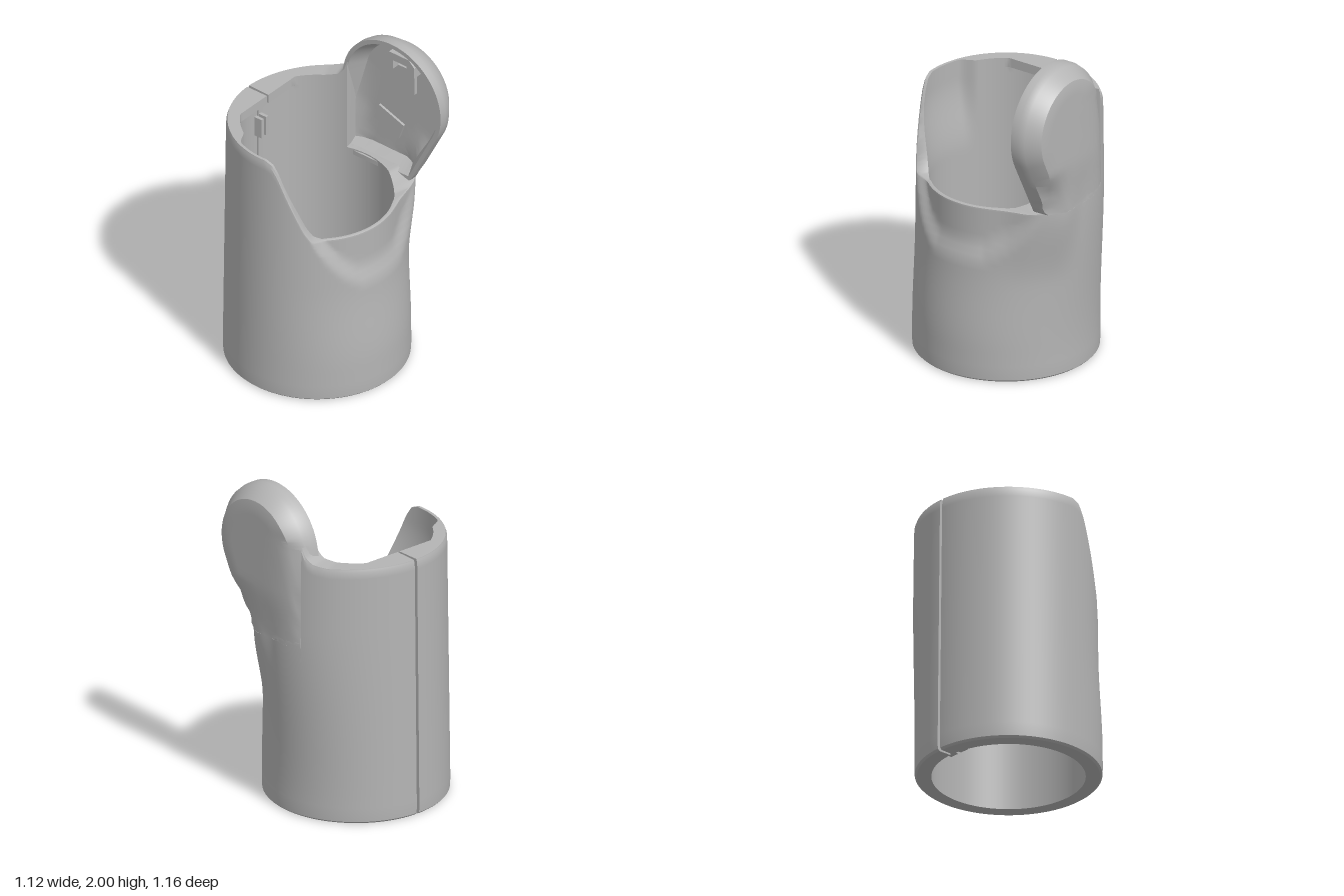
import * as THREE from 'three';
import { toCreasedNormals } from 'three/addons/utils/BufferGeometryUtils.js';

const CX = -0.01, CZ = 0.03;
const sstep = (a, b, v) => THREE.MathUtils.smoothstep(v, a, b);
const lerp = THREE.MathUtils.lerp;

// Piecewise-linear lookup in a list of [input, value] pairs
function lookup(table, v) {
  if (v <= table[0][0]) return table[0][1];
  for (let i = 1; i < table.length; i++) {
    const [a, p] = table[i - 1], [b, q] = table[i];
    if (v <= b) return lerp(p, q, (v - a) / (b - a));
  }
  return table[table.length - 1][1];
}

const FRONT_TOP = [[0.03, 1.62], [0.08, 1.6], [0.12, 1.54], [0.2, 1.35], [0.28, 1.16], [0.32, 1.1], [0.37, 1.08]];
const BACK_TOP = [[-0.17, 1.13], [0.25, 1.13], [0.33, 1.1], [0.4, 1.08]];
const WEDGE_TOP = [[-0.32, 1.62], [-0.24, 1.635], [-0.195, 1.67], [-0.172, 1.73]];
const SCOOP = [[0.1, 1.6], [0.2, 1.36], [0.35, 1.0], [0.45, 0.82], [0.51, 0.73], [0.54, 0.72]];
const STEP = -1.87; // angle where the wall gives way to the paddle

// Height of the sleeve wall at angle t
function wallTop(t) {
  const x = CX + 0.55 * Math.cos(t);
  if (t > 0) return lookup(FRONT_TOP, x);
  return lookup(t > STEP ? BACK_TOP : WEDGE_TOP, x);
}

const plainRadius = y => 0.55 - 0.012 * y;

// Backward swelling of the sleeve under the paddle and its right-hand corner
function bulge(c, y) {
  const corner = sstep(0.1, 0.5, c) * (1 - sstep(0.7, 0.95, c));
  return 0.06 * sstep(0.1, 1.2, y) * (1 - c * c) + 0.06 * sstep(0.6, 1.1, y) * corner;
}

// Outer radius, thinned by the scoop below the low lip
function outerRadius(t, y) {
  const c = Math.cos(t);
  const r = plainRadius(y) - 0.035 * Math.max(0, c) ** 2 * sstep(0.2, 0.75, y);
  const edge = lookup(SCOOP, CX + 0.55 * c);
  const amount = t > 0 ? (c > 0.2 ? 1 : 0) : sstep(0.6, 0.88, c);
  return lerp(r, 0.467, amount * sstep(edge, edge + 0.15, y));
}

// Inner radius, flared at the front and flat on the slit side near the top
function innerRadius(t, y, v, outer) {
  const c = Math.cos(t), s = Math.sin(t);
  let r = 0.45 + 0.055 * sstep(-0.55, -0.35, c) * sstep(0, 0.3, s) * sstep(1.05, 1.5, y);
  if (c < -0.5 && v > 0.952) r = Math.min(r, 0.375 / -c);
  return Math.min(r, outer - 0.014);
}

function makeGeometry(pos, idx) {
  const g = new THREE.BufferGeometry();
  g.setAttribute('position', new THREE.Float32BufferAttribute(pos, 3));
  g.setIndex(idx);
  return toCreasedNormals(g, 0.6);
}

// Split sleeve: closed wall sections swept from one side of the slit to the other
function sleeveGeometry() {
  const gap = 0.018, cols = 200, levels = [0, 0.002, 0.006];
  for (let j = 1; j <= 44; j++) levels.push(0.006 + 0.939 * j / 44);
  levels.push(0.951, 0.953, 0.985, 0.995, 1);
  const angles = [STEP - 0.0005, STEP + 0.0005];
  for (let i = 0; i <= cols; i++) angles.push(lerp(-Math.PI + gap, Math.PI - gap, i / cols));
  angles.sort((a, b) => a - b);
  const pos = [], idx = [], n = levels.length, m = 2 * n;
  for (const t of angles) {
    const top = wallTop(t), outer = [], inner = [], c = Math.cos(t), s = Math.sin(t);
    for (const v of levels) {
      // Level rows up to y = 1, then stretched to the local height
      const y = v < 0.5 ? 2 * v : lerp(1, top, 2 * v - 1);
      const r = outerRadius(t, y);
      const round = 0.016 * (1 - Math.min(1, y / 0.02)) ** 2 + 0.008 * sstep(0.98, 1, v);
      const ro = r - round, ri = innerRadius(t, y, v, ro);
      outer.push([CX + ro * c, y, CZ + ro * s - (s < 0 ? bulge(c, y) : 0)]);
      inner.unshift([CX + ri * c, y, CZ + ri * s]);
    }
    pos.push(...outer.flat(), ...inner.flat());
  }
  const last = (angles.length - 1) * m;
  for (let i = 0; i < last; i += m) {
    for (let k = 0; k < m; k++) {
      const a = i + k, b = i + (k + 1) % m;
      idx.push(a, b, b + m, a, b + m, a + m);
    }
  }
  for (let j = 0; j < n - 1; j++) {
    const o = j, p = j + 1, q = m - 2 - j, r = m - 1 - j;
    idx.push(o, q, p, o, r, q);
    idx.push(last + o, last + p, last + q, last + o, last + q, last + r);
  }
  return makeGeometry(pos, idx);
}

// Back face of the paddle, fading into the sleeve lower down and to the left
function backZ(x, y) {
  const r = plainRadius(y), c = Math.min(0.65, (x - CX) / r);
  const sunk = 0.012 * (1 - sstep(-0.19, -0.15, x));
  const body = CZ - r * Math.sqrt(1 - c * c) - bulge(c, y) + sunk;
  const fade = sstep(1.08, 1.42, y) * Math.max(sstep(-0.22, 0.08, x), sstep(1.6, 1.85, y));
  return Math.min(-0.44, lerp(body, -0.585, fade));
}

// Slanted tapering outline, shrunk by s toward its axis
function paddleOutline(s, lift) {
  const U = [0.19, 1.63, 0.37 * (1 - s)], L = [0, 1.1, 0.295 * (1 - s)];
  const mid = 1.227, half = 1.705, pts = [];
  const at = (c, a) => [c[0] + c[2] * Math.cos(a), c[1] + c[2] * Math.sin(a)];
  const line = (p, q) => {
    for (let i = 1; i < 14; i++) pts.push([lerp(p[0], q[0], i / 14), lerp(p[1], q[1], i / 14)]);
  };
  const a0 = mid - half, a1 = mid + half, a2 = a0 + 2 * Math.PI;
  for (let i = 0; i <= 48; i++) pts.push(at(U, lerp(a0, a1, i / 48)));
  line(at(U, a1), at(L, a1));
  for (let i = 0; i <= 24; i++) pts.push(at(L, lerp(a1, a2, i / 24)));
  line(at(L, a2), at(U, a2));
  return pts.map(([x, y]) => [x, Math.max(y, 1.09 + lift)]);
}

// Dished paddle: rings run from the back centre, round the rim, into the recess
function paddleGeometry() {
  const floor = (x, y) => Math.max(-0.53, backZ(x, y) + 0.035);
  const rings = [
    ...[1, 0.8, 0.6, 0.45, 0.32].map(s => [s, 0, backZ]),
    [0.2, 0, (x, y) => backZ(x, y) + 0.008],
    [0.03, 0, (x, y) => Math.max(-0.5, backZ(x, y))],
    [0, 0, (x, y) => Math.max(-0.455, backZ(x, y))],
    [0, 0, () => -0.41], [0.075, 0.03, () => -0.41],
    ...[0.21, 0.4, 0.6, 0.8, 1].map(s => [s, 0.06, floor]),
  ];
  const pos = [], idx = [];
  rings.forEach(([s, lift, z], k) => {
    const pts = paddleOutline(s, lift), n = pts.length;
    for (const [x, y] of pts) pos.push(x, y, z(x, y));
    if (k === 0) return;
    for (let i = 0; i < n; i++) {
      const a = (k - 1) * n + i, b = (k - 1) * n + (i + 1) % n;
      idx.push(a, b, b + n, a, b + n, a + n);
    }
  });
  return makeGeometry(pos, idx);
}

export function createModel() {
  const group = new THREE.Group();
  const grey = new THREE.MeshStandardMaterial({ color: 0xb4b4b4, side: THREE.DoubleSide });
  grey.name = 'matte grey';
  const add = (name, geometry, x = 0, y = 0, z = 0) => {
    const mesh = new THREE.Mesh(geometry, grey);
    mesh.name = name;
    mesh.position.set(x, y, z);
    group.add(mesh);
    return mesh;
  };

  add('splitSleeve', sleeveGeometry());
  add('paddle', paddleGeometry());

  // Latch in the paddle recess: arched hook over a short post
  const hook = new THREE.Shape();
  [[0.08, 1.78], [0.08, 1.85], [0.12, 1.89], [0.27, 1.89], [0.31, 1.85], [0.31, 1.78], [0.25, 1.78],
    [0.25, 1.84], [0.15, 1.84], [0.15, 1.78]].forEach(([x, y], i) => (i ? hook.lineTo(x, y) : hook.moveTo(x, y)));
  add('latchHook', new THREE.ExtrudeGeometry(hook, { depth: 0.07, bevelEnabled: false }), 0, 0, -0.54);
  add('latchPost', new THREE.BoxGeometry(0.17, 0.16, 0.03), 0.195, 1.71, -0.525);

  // Slightly raised pad lower in the recess
  add('recessPad', new THREE.BoxGeometry(0.2, 0.11, 0.03), 0.08, 1.35, -0.53).rotation.z = -0.35;

  // Clips and guide blocks on both sides of the slit
  for (const side of [-1, 1]) {
    add('slitClip', new THREE.BoxGeometry(0.06, 0.13, 0.02), -0.435, 1.385, CZ + side * 0.021);
    add('guideBlock', new THREE.BoxGeometry(0.07, 0.3, 0.06), -0.43, 0.18, CZ + side * 0.042);
  }
  return group;
}
